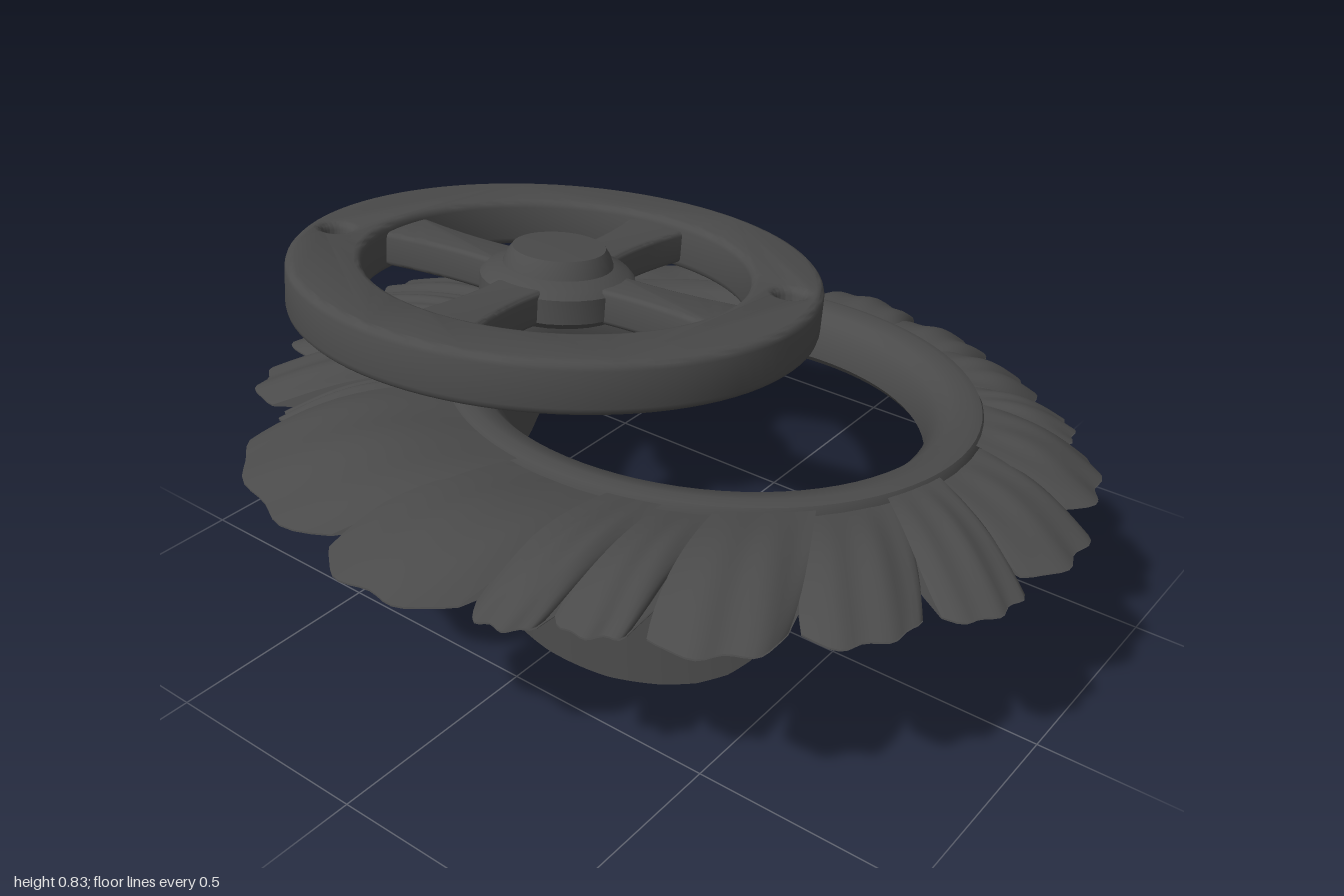
import * as THREE from 'three';
import { toCreasedNormals } from 'three/addons/utils/BufferGeometryUtils.js';

const iron = new THREE.MeshStandardMaterial({ color: 0x4b4b4b });
iron.name = 'dark iron';
const ironSheet = new THREE.MeshStandardMaterial({ color: 0x4b4b4b, side: THREE.DoubleSide });
ironSheet.name = 'dark iron sheet';

const CX = 0.12, CZ = 0.065; // centre of the oval collar
const DEG = Math.PI / 180;

function part(name, geometry, material = iron) {
  const mesh = new THREE.Mesh(geometry, material);
  mesh.name = name;
  return mesh;
}

const lathe = (pts, seg = 64) =>
  toCreasedNormals(new THREE.LatheGeometry(pts.map(p => new THREE.Vector2(...p)), seg), 0.7);

// Flat plate extruded downwards from y = 0, shape y becomes z
function plate(shape, depth, bevel) {
  const g = new THREE.ExtrudeGeometry(shape, {
    depth: depth - 2 * bevel, bevelSize: bevel, bevelThickness: bevel,
    bevelOffset: -bevel, bevelSegments: 3, curveSegments: 48,
  });
  g.rotateX(Math.PI / 2).translate(0, -bevel, 0);
  return toCreasedNormals(g, 0.6);
}

// Sheet from a function of (u, v) in 0..1
function sheet(nu, nv, fn) {
  const g = new THREE.PlaneGeometry(1, 1, nu, nv);
  const p = g.attributes.position;
  for (let i = 0; i < p.count; i++) p.setXYZ(i, ...fn(p.getX(i) + 0.5, p.getY(i) + 0.5));
  g.computeVertexNormals();
  return g;
}

// Piecewise linear lookup in [x, y] pairs
function lookup(table, x) {
  for (let i = 1; i < table.length; i++) {
    const [x0, y0] = table[i - 1], [x1, y1] = table[i];
    if (x <= x1) return y0 + (y1 - y0) * (x - x0) / (x1 - x0);
  }
  return table[table.length - 1][1];
}

// Hand wheel: drilled rim, four flared spokes, low domed hub
function makeWheel() {
  const wheel = new THREE.Group();
  wheel.name = 'wheel';
  const rim = new THREE.Shape().absarc(0, 0, 0.6, 0, Math.PI * 2);
  rim.holes.push(new THREE.Path().absarc(0, 0, 0.435, 0, Math.PI * 2, true));
  for (const s of [-1, 1]) {
    rim.holes.push(new THREE.Path().absarc(s * 0.228, s * 0.475, 0.034, 0, Math.PI * 2, true));
  }
  wheel.add(part('wheelRim', plate(rim, 0.115, 0.018)));

  const outline = new THREE.Shape();
  outline.moveTo(0.11, -0.065);
  outline.quadraticCurveTo(0.26, -0.04, 0.46, -0.085);
  outline.lineTo(0.46, 0.085);
  outline.quadraticCurveTo(0.26, 0.04, 0.11, 0.065);
  const spoke = plate(outline, 0.08, 0.012);
  for (let k = 0; k < 4; k++) {
    const m = part('spoke', spoke);
    m.position.y = -0.02;
    m.rotation.y = (7 + 90 * k) * DEG;
    wheel.add(m);
  }
  wheel.add(part('hub', lathe([
    [0, -0.105], [0.16, -0.105], [0.175, -0.09], [0.175, -0.035], [0.16, -0.02],
    [0.125, -0.008], [0.116, 0.015], [0.105, 0.03], [0, 0.034],
  ], 32)));
  wheel.position.set(-0.022, 0.755, -0.262);
  wheel.rotation.z = -0.127;
  return wheel;
}

// Oval collar around the opening, with a broad top lip
function makeCollar() {
  const collar = part('collar', lathe([
    [0.472, -0.045], [0.485, -0.06], [0.575, -0.06], [0.59, -0.045], [0.593, 0.05],
    [0.583, 0.068], [0.56, 0.075], [0.515, 0.065], [0.495, 0.045], [0.475, 0.02], [0.472, -0.045],
  ], 80));
  collar.scale.z = 1.055;
  collar.position.set(CX, 0.432, CZ);
  collar.rotation.z = -0.08;
  return collar;
}

// Curved scoop wall hanging under one side of the collar
function makeScoop() {
  const bottom = [ // angle in degrees, height of the lower edge
    [129, 0.36], [131, 0.25], [134, 0.17], [137, 0.115], [142, 0.075], [149, 0.045],
    [157, 0.026], [170, 0.007], [187, 0], [215, 0.01], [236, 0.03], [250, 0.06],
    [262, 0.1], [270, 0.145], [275, 0.2], [279, 0.38],
  ];
  return part('scoop', sheet(90, 10, (u, v) => {
    const a = 129 + 150 * u;
    const low = lookup(bottom, a);
    const x = CX + 0.512 * Math.cos(a * DEG);
    const top = 0.44 - 0.08 * (x - CX);
    return [x, low + (top - low) * v, CZ + 0.57 * Math.sin(a * DEG)];
  }), ironSheet);
}

// Skirt of uneven leaves: notch angles between them and the reach of each
const notches = [-113, -97, -88, -76, -63, -52, -21, -6, 12, 30, 46, 57, 76, 95, 109,
  126, 144, 155, 165, 188, 222, 229, 247];
const reach = [0.93, 0.99, 0.98, 0.97, 0.91, 0.9, 0.88, 0.93, 0.92, 0.92, 0.95, 0.98, 0.995,
  0.995, 0.96, 0.945, 0.9, 0.92, 0.94, 0.92, 0.83, 0.91];

// Each leaf is a gently crowned top over a plain underside, meeting at the tip
function makeLeaf(i) {
  const mid = (notches[i] + notches[i + 1]) / 2;
  const half = (notches[i + 1] - notches[i]) / 2;
  const lift = (i % 2) * 0.01;
  const point = (u, v, under) => {
    const s = 2 * u - 1;
    // overlaps its neighbours near the collar, narrows slightly at the tip
    const spread = half * (1.08 - 0.16 * v ** 4);
    const a = (mid + s * spread) * DEG;
    const r = reach[i] - 0.055 * s ** 4 + 0.008 * Math.sin(s * 8 + i * 2);
    const c = Math.cos(a), d = Math.sin(a);
    const x0 = CX + 0.58 * c, z0 = CZ + 0.612 * d;
    const x = x0 + (r * c - x0) * v, z = z0 + (r * d - z0) * v;
    const hump = Math.sin(v * Math.PI);
    const top = 0.492 - 0.055 * v + hump * (0.016 - 0.016 * Math.min(c, 0))
      + 0.012 * (1 - s * s) * hump + 0.003 * Math.cos(s * 8 + i) * hump + lift * (1 - v);
    const bottom = 0.42 + 0.013 * v;
    return [x, (under ? bottom : top) - 0.08 * x, z];
  };
  const leaf = new THREE.Group();
  leaf.name = 'leaf';
  leaf.add(
    part('leafTop', sheet(16, 12, (u, v) => point(u, v, false)), ironSheet),
    part('leafUnderside', sheet(16, 4, (u, v) => point(u, v, true)), ironSheet),
  );
  return leaf;
}

export function createModel() {
  const model = new THREE.Group();
  model.name = 'leafyWheelValve';
  const skirt = new THREE.Group();
  skirt.name = 'leafSkirt';
  reach.forEach((_, i) => skirt.add(makeLeaf(i)));
  model.add(makeWheel(), makeCollar(), makeScoop(), skirt);
  return model;
}
